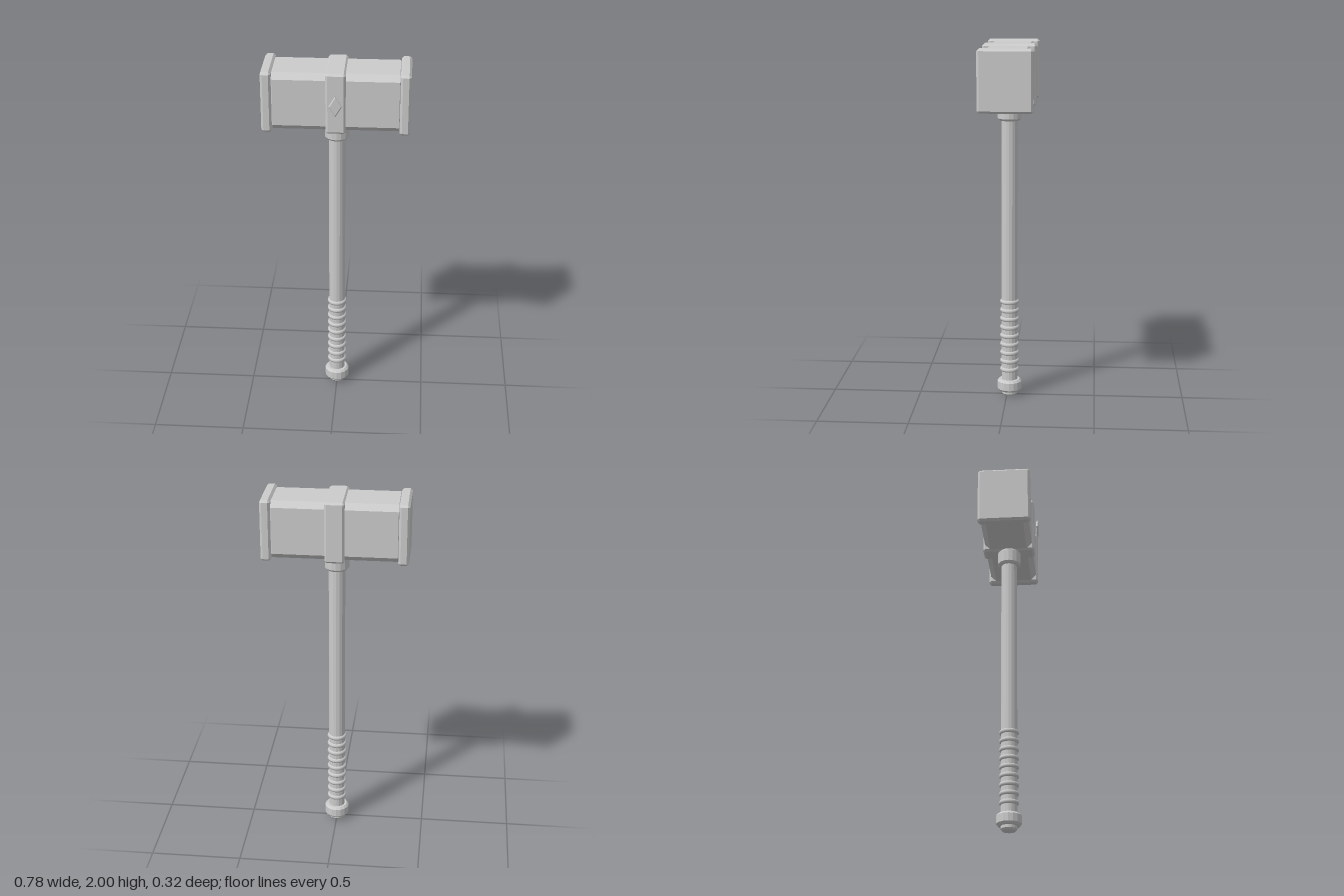
import * as THREE from 'three';
import { ConvexGeometry } from 'three/addons/geometries/ConvexGeometry.js';

const material = new THREE.MeshStandardMaterial({ color: 0xcccccc, flatShading: true });
const smooth = new THREE.MeshStandardMaterial({ color: 0xcccccc });
const HEAD_Y = 1.833, AXIS_Z = -0.0145;

// Box with every edge and corner cut flat; sizes are half extents
function chamferBox(hx, hy, hz, c) {
  const points = [];
  for (const x of [-1, 1]) for (const y of [-1, 1]) for (const z of [-1, 1]) {
    points.push(
      new THREE.Vector3(x * hx, y * (hy - c), z * (hz - c)),
      new THREE.Vector3(x * (hx - c), y * hy, z * (hz - c)),
      new THREE.Vector3(x * (hx - c), y * (hy - c), z * hz));
  }
  return new ConvexGeometry(points);
}

// Turned part from [radius, height] pairs, listed upwards
function turned(profile, sides = 16) {
  return new THREE.LatheGeometry(profile.map(([r, y]) => new THREE.Vector2(r, y)), sides);
}

export function createModel() {
  const model = new THREE.Group();
  const add = (name, geometry, x = 0, y = 0, z = AXIS_Z, mat = material) => {
    const mesh = new THREE.Mesh(geometry, mat);
    mesh.name = name;
    mesh.position.set(x, y, z);
    model.add(mesh);
    return mesh;
  };

  // Head: wide-chamfered block, two end caps and a centre band
  add('headBlock', chamferBox(0.362, 0.158, 0.136, 0.031), 0, HEAD_Y);
  for (const side of [-1, 1]) {
    add(side > 0 ? 'leftCap' : 'rightCap', chamferBox(0.028, 0.167, 0.147, 0.012), side * 0.362, HEAD_Y);
  }
  add('centreBand', chamferBox(0.053, 0.167, 0.147, 0.011), 0, HEAD_Y);

  // Diamond emblem standing just off the front of the band
  const emblem = turned([[0, -0.006], [0.84, -0.006], [1, -0.002], [1, 0.002], [0.84, 0.006], [0, 0.006]], 4);
  emblem.scale(0.035, 1, 0.058).rotateX(Math.PI / 2);
  add('emblem', emblem, 0, 1.831, 0.151);

  // Collar under the head
  add('collar', turned([[0, 1.583], [0.056, 1.583], [0.066, 1.594], [0.066, 1.665], [0.056, 1.676], [0, 1.676]]));

  // Shaft with a chamfered foot
  add('shaft', turned([[0, 0], [0.036, 0], [0.045, 0.01], [0.045, 1.69], [0, 1.69]]));

  // Grip rings
  const ring = new THREE.TorusGeometry(0.041, 0.0135, 8, 24).rotateX(Math.PI / 2);
  for (let i = 0; i < 9; i++) add('gripRing', ring, 0, 0.153 + i * 0.05, AXIS_Z, smooth);

  // Pommel
  add('pommel', turned([[0, 0.026], [0.058, 0.026], [0.069, 0.038], [0.069, 0.082], [0.058, 0.094], [0, 0.094]]));

  return model;
}
